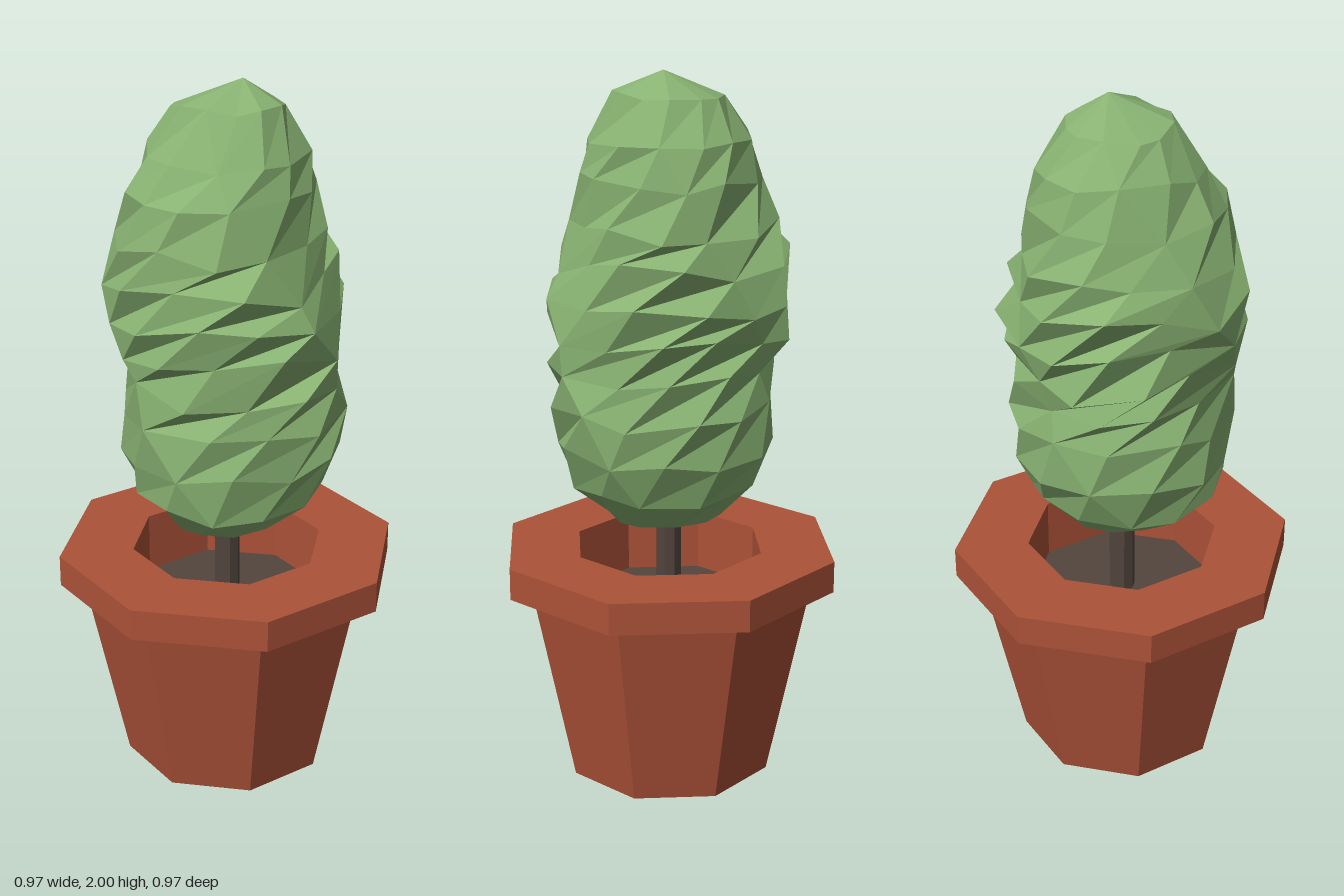
import * as THREE from 'three';

const terracotta = new THREE.MeshStandardMaterial({ color: 0xac5238 });
const leafGreen = new THREE.MeshStandardMaterial({ color: 0x88b272 });
const darkBrown = new THREE.MeshStandardMaterial({ color: 0x52453d });
terracotta.name = 'terracotta';
leafGreen.name = 'leafGreen';
darkBrown.name = 'darkBrown';

// Splits shared corners so every facet gets its own flat normal.
function faceted(geometry) {
  const g = geometry.index ? geometry.toNonIndexed() : geometry;
  g.computeVertexNormals();
  return g;
}

function part(name, geometry, material) {
  const mesh = new THREE.Mesh(faceted(geometry), material);
  mesh.name = name;
  return mesh;
}

// Small seeded generator returning values in -1..1.
function seeded(seed) {
  return () => {
    seed = (seed * 16807) % 2147483647;
    return (seed / 2147483647) * 2 - 1;
  };
}

// Clipped bush: lopsided rings, twisted and folded around the middle.
function bushGeometry() {
  // y, x min, x max, z min, z max, fold strength
  const rings = [
    [0.765, -0.16, 0.17, -0.15, 0.17, 0],
    [0.86, -0.24, 0.27, -0.25, 0.29, 0],
    [0.98, -0.285, 0.315, -0.295, 0.305, 0],
    [1.1, -0.285, 0.33, -0.305, 0.305, 0.2],
    [1.21, -0.295, 0.33, -0.3, 0.3, 0.8],
    [1.3, -0.32, 0.33, -0.315, 0.32, 1],
    [1.39, -0.32, 0.33, -0.33, 0.335, 0.7],
    [1.49, -0.325, 0.295, -0.315, 0.33, 1],
    [1.59, -0.305, 0.26, -0.285, 0.315, 0.7],
    [1.71, -0.255, 0.24, -0.25, 0.28, 0.2],
    [1.82, -0.215, 0.215, -0.23, 0.21, 0],
    [1.93, -0.15, 0.15, -0.15, 0.13, 0],
  ];
  const sides = 12;
  const rand = seeded(4217);
  const pos = [], index = [];
  let twist = 0;
  rings.forEach(([y, x0, x1, z0, z1, fold], j) => {
    twist += 0.2 + 0.18 * fold;
    for (let i = 0; i < sides; i++) {
      const a = (i / sides) * Math.PI * 2 + twist + rand() * 0.08;
      const s = Math.sin(a), c = Math.cos(a);
      const crease = (i + j) % 3 === 0 ? -0.09 * fold : 0.015 * fold;
      const k = 1.01 + crease + rand() * 0.025;
      pos.push(s * (s > 0 ? x1 : -x0) * k,
        y + rand() * 0.02 + 0.02 * fold * Math.sin(a * 3 + j),
        c * (c > 0 ? z1 : -z0) * k);
    }
  });
  const bottom = pos.length / 3, top = bottom + 1;
  pos.push(0, 0.715, 0.03, 0.03, 2, -0.03);
  const last = (rings.length - 1) * sides;
  for (let i = 0; i < sides; i++) {
    const n = (i + 1) % sides;
    index.push(bottom, n, i, top, last + i, last + n);
    for (let j = 0; j < rings.length - 1; j++) {
      const a = j * sides + i, b = j * sides + n;
      const d = a + sides, c = b + sides;
      // The diagonal follows the fold around the bush.
      if ((i + j) % 4 === 0) index.push(a, b, d, b, c, d);
      else index.push(a, b, c, a, c, d);
    }
  }
  const g = new THREE.BufferGeometry();
  g.setAttribute('position', new THREE.Float32BufferAttribute(pos, 3));
  g.setIndex(index);
  return g;
}

export function createModel() {
  const model = new THREE.Group();
  model.name = 'pottedBush';

  // Eight-sided pot with a thick rim and hollow top
  const profile = [
    [0, 0], [0.3, 0], [0.42, 0.575], [0.487, 0.575],
    [0.487, 0.665], [0.275, 0.665], [0.275, 0.46],
  ].map(([r, y]) => new THREE.Vector2(r, y));
  model.add(part('pot', new THREE.LatheGeometry(profile, 8), terracotta));

  // Soil inside the pot
  const soil = part('soil', new THREE.CylinderGeometry(0.275, 0.275, 0.02, 8), darkBrown);
  soil.position.y = 0.48;
  model.add(soil);

  // Short trunk reaching up into the leaves
  const trunk = part('trunk', new THREE.CylinderGeometry(0.037, 0.037, 0.42, 8), darkBrown);
  trunk.position.y = 0.68;
  model.add(trunk);

  model.add(part('foliage', bushGeometry(), leafGreen));
  return model;
}
